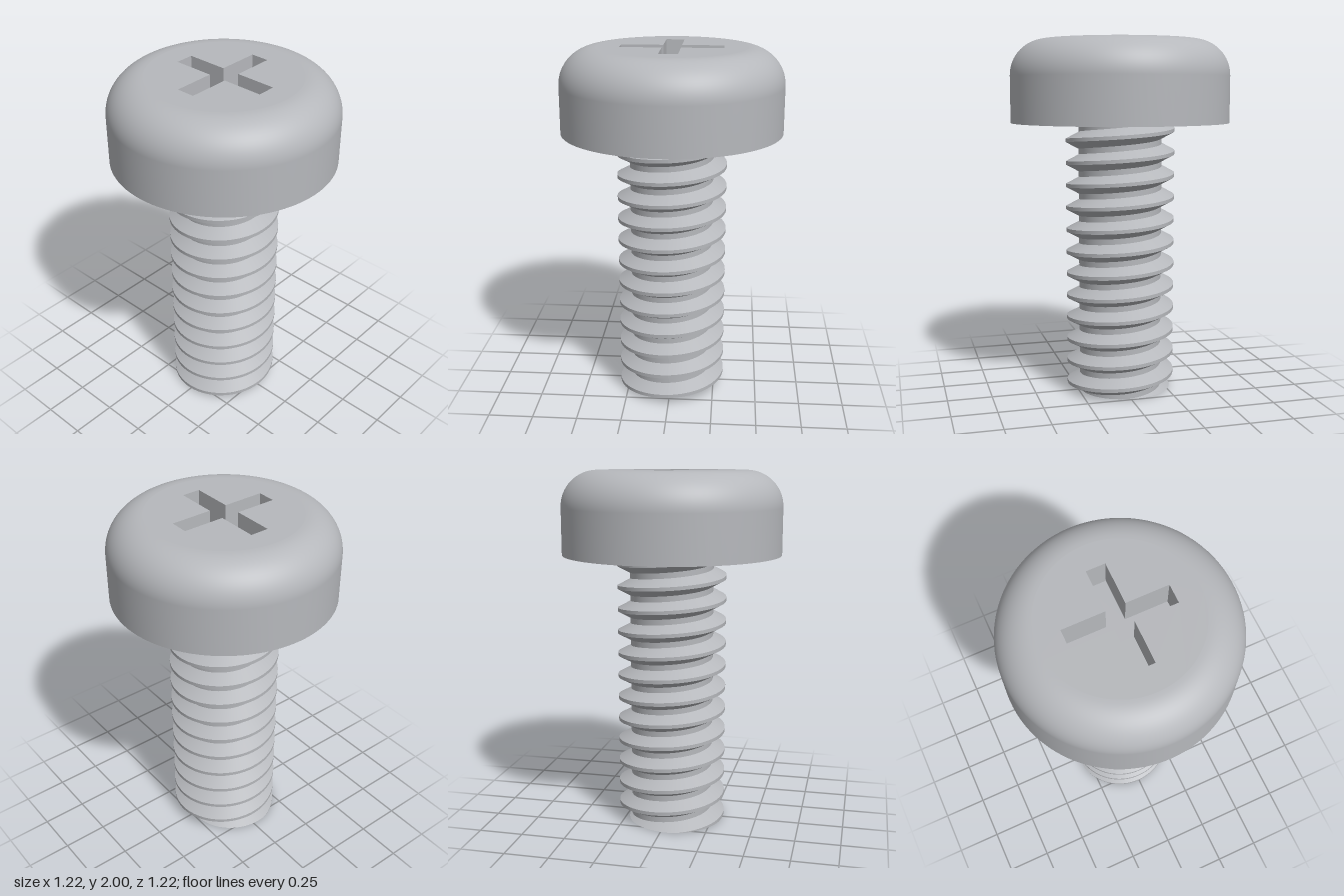
import * as THREE from 'three';

const HEAD_R = 0.612, HEAD_Y = 1.54, TOP = 2, ROUND = 0.2;
const ROOT = 0.235, CREST = 0.307, PITCH = 0.127;
const CREST_HALF = 0.01, FLANK_END = 0.048;
const SEGMENTS = 72, SLOT_DEPTH = 0.18;

// Height of a thread crest at a given angle (right-handed helix)
const crestY = (angle) => 0.048 + PITCH * angle / (Math.PI * 2);

// Radius of the threaded shaft at any angle and height
function threadRadius(angle, y) {
  const turns = (y - crestY(angle)) / PITCH;
  const d = Math.abs(turns - Math.round(turns)) * PITCH;
  const t = THREE.MathUtils.clamp((d - CREST_HALF) / (FLANK_END - CREST_HALF), 0, 1);
  return THREE.MathUtils.lerp(CREST, ROOT, t);
}

function meshData(positions, index) {
  const g = new THREE.BufferGeometry();
  g.setAttribute('position', new THREE.Float32BufferAttribute(positions, 3));
  g.setIndex(index);
  g.computeVertexNormals();
  return g;
}

function ringPoint(angle, y) {
  const r = threadRadius(angle, y);
  return [r * Math.cos(angle), y, -r * Math.sin(angle)];
}

// Helical strips for crest, flanks and root, trimmed at the shaft ends
function threadGeometry() {
  const offsets = [-CREST_HALF, CREST_HALF, FLANK_END, PITCH - FLANK_END, PITCH - CREST_HALF];
  const pos = [], index = [];
  const trim = (y) => THREE.MathUtils.clamp(y, 0, HEAD_Y);
  for (let turn = -3; turn <= 13; turn++) {
    for (let s = 0; s < 4; s++) {
      const start = pos.length / 3;
      for (let i = 0; i <= SEGMENTS; i++) {
        const a = i / SEGMENTS * Math.PI * 2;
        const base = crestY(a) + turn * PITCH;
        pos.push(...ringPoint(a, trim(base + offsets[s])));
        pos.push(...ringPoint(a, trim(base + offsets[s + 1])));
        if (i === 0) continue;
        const p = start + (i - 1) * 2;
        const height = (k) => pos[k * 3 + 1];
        // Skip pieces that lie wholly outside the shaft
        if (height(p) === height(p + 1) && height(p + 2) === height(p + 3)) continue;
        index.push(p, p + 2, p + 3, p, p + 3, p + 1);
      }
    }
  }
  return meshData(pos, index);
}

// Flat end that follows the cut thread outline
function shaftEndGeometry() {
  const pos = [0, 0, 0], index = [];
  for (let i = 0; i <= SEGMENTS; i++) {
    pos.push(...ringPoint(i / SEGMENTS * Math.PI * 2, 0));
    if (i > 0) index.push(0, i + 1, i);
  }
  return meshData(pos, index);
}

// Cross outline, counter-clockwise
function crossPoints() {
  const L = 0.28, w = 0.051;
  const arm = [[L, -w], [L, w], [w, w]];
  const pts = [];
  for (let q = 0; q < 4; q++) {
    for (const [x, y] of arm) {
      pts.push(new THREE.Vector2(x, y).rotateAround(new THREE.Vector2(), q * Math.PI / 2));
    }
  }
  return pts;
}

// Inward-facing walls of the cross recess
function recessWalls(pts) {
  const pos = [], index = [];
  pts.forEach((a, i) => {
    const b = pts[(i + 1) % pts.length], n = pos.length / 3, low = TOP - SLOT_DEPTH;
    pos.push(b.x, low, -b.y, a.x, low, -a.y, a.x, TOP, -a.y, b.x, TOP, -b.y);
    index.push(n, n + 1, n + 2, n, n + 2, n + 3);
  });
  return meshData(pos, index);
}

export function createModel() {
  const model = new THREE.Group();
  model.name = 'screw';
  const steel = new THREE.MeshStandardMaterial({ color: 0xb6b8bc });
  steel.name = 'steel grey';
  const add = (parent, name, geometry) => {
    const mesh = new THREE.Mesh(geometry, steel);
    mesh.name = name;
    parent.add(mesh);
    return mesh;
  };

  // Head: straight side with rounded shoulder
  const head = new THREE.Group();
  head.name = 'head';
  model.add(head);
  const profile = [new THREE.Vector2(HEAD_R, HEAD_Y)];
  for (let i = 0; i <= 16; i++) {
    const a = i / 16 * Math.PI / 2;
    profile.push(new THREE.Vector2(
      HEAD_R - ROUND + ROUND * Math.cos(a), TOP - ROUND + ROUND * Math.sin(a)));
  }
  add(head, 'headSide', new THREE.LatheGeometry(profile, 96));
  add(head, 'headUnderside', new THREE.RingGeometry(ROOT - 0.005, HEAD_R, 96)
    .rotateX(Math.PI / 2).translate(0, HEAD_Y, 0));

  // Flat top with cross recess
  const cross = crossPoints();
  const disc = new THREE.Shape().absarc(0, 0, HEAD_R - ROUND, 0, Math.PI * 2);
  disc.holes.push(new THREE.Path(cross));
  add(head, 'headTop', new THREE.ShapeGeometry(disc, 48).rotateX(-Math.PI / 2).translate(0, TOP, 0));
  add(head, 'recessWalls', recessWalls(cross));
  add(head, 'recessFloor', new THREE.ShapeGeometry(new THREE.Shape(cross))
    .rotateX(-Math.PI / 2).translate(0, TOP - SLOT_DEPTH, 0));

  // Threaded shaft
  const shaft = new THREE.Group();
  shaft.name = 'shaft';
  model.add(shaft);
  add(shaft, 'thread', threadGeometry());
  add(shaft, 'shaftEnd', shaftEndGeometry());
  return model;
}
